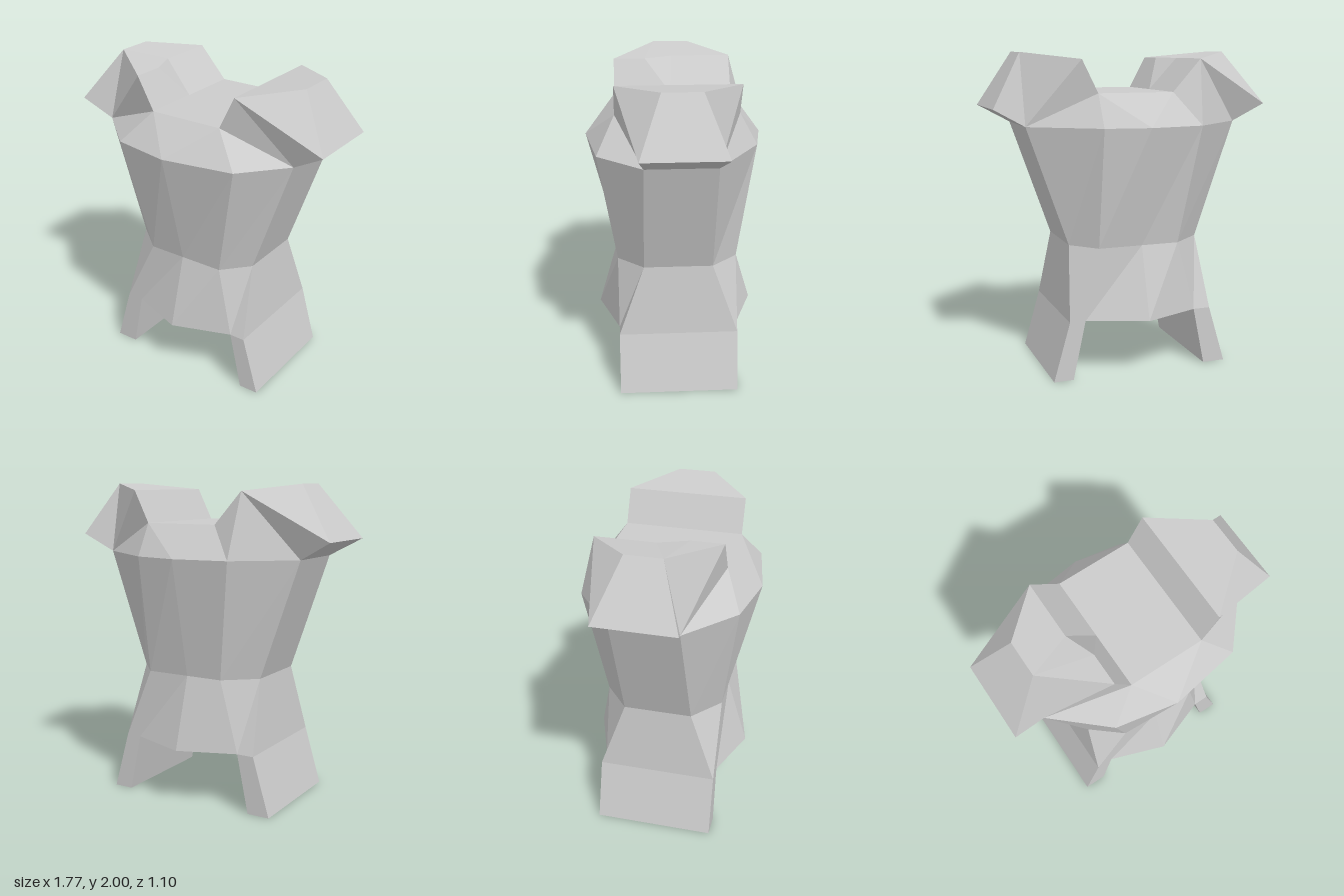
import * as THREE from 'three';

const material = new THREE.MeshStandardMaterial({ color: 0xcccccc, flatShading: true });

// Flat-shaded mesh from convex polygons, each fanned from its first corner
function facetMesh(name, polygons) {
  const positions = [];
  for (const p of polygons) {
    for (let i = 1; i < p.length - 1; i++) positions.push(...p[0], ...p[i], ...p[i + 1]);
  }
  const geometry = new THREE.BufferGeometry();
  geometry.setAttribute('position', new THREE.Float32BufferAttribute(positions, 3));
  geometry.computeVertexNormals();
  const mesh = new THREE.Mesh(geometry, material);
  mesh.name = name;
  return mesh;
}

// Ring of [x, z] corners at one height, anticlockwise from above, starting at the -x front side
const ring = (y, corners) => corners.map(([x, z]) => [x, y, z]);

// Quads joining a lower ring to an upper ring
const strip = (lower, upper) => lower.map((p, i) => {
  const n = (i + 1) % lower.length;
  return [p, lower[n], upper[n], upper[i]];
});

export function createModel() {
  const group = new THREE.Group();

  const hem = ring(0.37, [[-0.47, 0.36], [-0.36, 0.36], [0, 0.49], [0.37, 0.36], [0.47, 0.36],
    [0.47, -0.39], [0.37, -0.39], [0, -0.525], [-0.36, -0.39], [-0.47, -0.39]]);
  const waist = ring(0.82, [[-0.43, 0.2], [-0.24, 0.36], [0, 0.36], [0.28, 0.36], [0.425, 0.2],
    [0.425, -0.23], [0.28, -0.39], [0, -0.39], [-0.24, -0.39], [-0.43, -0.23]]);
  const chest = ring(1.56, [[-0.69, 0.19], [-0.38, 0.47], [0, 0.545], [0.45, 0.47], [0.685, 0.2],
    [0.685, -0.23], [0.28, -0.5], [0, -0.55], [-0.35, -0.5], [-0.69, -0.23]]);
  const neck = ring(1.76, [[-0.2, 0.36], [0.28, 0.36], [0.28, -0.39], [-0.2, -0.39]]);

  // Torso: skirt, flared chest and the flat underside
  group.add(facetMesh('torso', [
    ...strip(hem, waist), ...strip(waist, chest),
    [hem[8], hem[7], hem[6], hem[3], hem[2], hem[1]],
  ]));

  // Shoulder guard corners, front and back of each: inner, top, outer
  const pair = (x, y, front, back) => [[x, y, front], [x, y, back]];
  const L = { neck: [neck[1], neck[2]], low: [chest[4], chest[5]], inner: pair(0.38, 1.96, 0.36, -0.39),
    top: pair(0.69, 2, 0.1, -0.135), outer: pair(0.885, 1.67, 0.23, -0.27) };
  const R = { neck: [neck[0], neck[3]], low: [chest[0], chest[9]],
    inner: [[-0.31, 1.96, 0.36], [-0.38, 1.96, -0.39]],
    top: pair(-0.65, 2, 0.09, -0.135), outer: pair(-0.89, 1.67, 0.23, -0.27) };
  const span = (p, q) => [p[0], p[1], q[1], q[0]];

  // Collar: sloping band up to the flat neck
  const [a, b, c, d] = neck;
  const s = chest;
  group.add(facetMesh('collar', [
    [s[0], s[1], a], [s[1], s[2], a], [s[2], b, a], [s[2], s[3], b], [s[3], s[4], b],
    [s[5], s[6], c], [s[6], s[7], c], [s[7], d, c], [s[7], s[8], d],
    [s[8], R.inner[1], d], [s[8], s[9], R.inner[1]],
    [a, b, c, d],
  ]));

  group.add(facetMesh('leftShoulder', [
    span(L.low, L.outer), span(L.outer, L.top), span(L.top, L.inner), span(L.inner, L.neck),
    [L.neck[0], L.low[0], L.inner[0]], [L.inner[0], L.low[0], L.outer[0]], [L.inner[0], L.outer[0], L.top[0]],
    [L.neck[1], L.inner[1], L.low[1]], [L.inner[1], L.top[1], L.low[1]], [L.top[1], L.outer[1], L.low[1]],
  ]));

  // Right shoulder has a stepped inner wall
  const foot = [-0.2, 1.76, 0], step1 = [-0.31, 1.96, 0.16], step2 = [-0.38, 1.96, -0.02];
  group.add(facetMesh('rightShoulder', [
    span(R.top, R.outer), span(R.outer, R.low),
    [R.neck[0], foot, step1, R.inner[0]], [foot, step2, step1], [foot, R.neck[1], R.inner[1], step2],
    [R.top[0], R.inner[0], step1, step2, R.inner[1], R.top[1]],
    [R.neck[0], R.inner[0], R.low[0]], [R.inner[0], R.top[0], R.low[0]], [R.top[0], R.outer[0], R.low[0]],
    [R.inner[1], R.outer[1], R.top[1]], [R.inner[1], R.low[1], R.outer[1]],
  ]));

  // Hip plates: slanted slabs below the skirt
  const hipPlate = (name, top, x0, x1) => {
    const base = ring(0, [[x0, 0.36], [x1, 0.36], [x1, -0.39], [x0, -0.39]]);
    group.add(facetMesh(name, [...strip(base, top), [...base].reverse()]));
  };
  hipPlate('leftHipPlate', [hem[3], hem[4], hem[5], hem[6]], 0.45, 0.575);
  hipPlate('rightHipPlate', [hem[0], hem[1], hem[8], hem[9]], -0.58, -0.435);

  return group;
}
